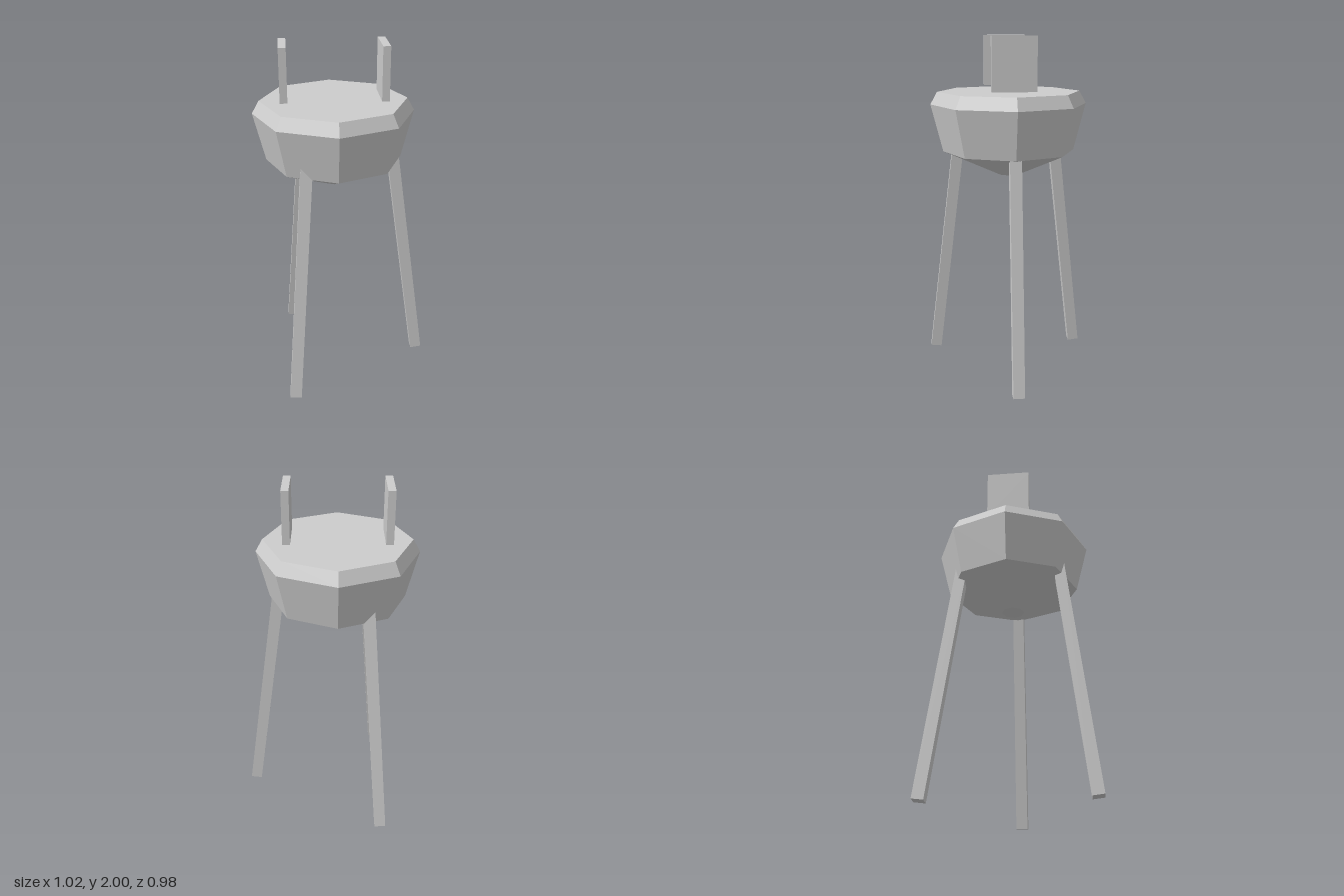
import * as THREE from 'three';

const CENTER_X = -0.052;

export function createModel() {
  const model = new THREE.Group();
  model.name = 'tripodStool';
  const grey = new THREE.MeshStandardMaterial({ color: 0xcccccc, flatShading: true });
  grey.name = 'light grey';

  // Faceted octagonal body: small flat base, flared sides, bevelled rim, flat top
  const profile = [[0, 1.195], [0.068, 1.195], [0.388, 1.335], [0.457, 1.61], [0.417, 1.682], [0, 1.682]]
    .map(([r, y]) => new THREE.Vector2(r, y));
  const body = new THREE.Mesh(new THREE.LatheGeometry(profile, 8).toNonIndexed(), grey);
  body.geometry.computeVertexNormals();
  body.name = 'body';
  body.position.x = CENTER_X;
  model.add(body);

  // Three splayed square legs, tilted straight towards the axis without twisting
  const up = new THREE.Vector3(0, 1, 0);
  for (let i = 0; i < 3; i++) {
    const a = (i * Math.PI * 2) / 3;
    const radial = new THREE.Vector3(Math.cos(a), 0, Math.sin(a));
    const foot = radial.clone().multiplyScalar(0.527).add(new THREE.Vector3(CENTER_X, 0.006, 0));
    const top = radial.clone().multiplyScalar(0.326).add(new THREE.Vector3(CENTER_X, 1.45, 0));
    const axis = top.clone().sub(foot);
    const leg = new THREE.Mesh(new THREE.BoxGeometry(0.066, axis.length(), 0.066), grey);
    leg.name = `leg${i + 1}`;
    leg.position.copy(foot).lerp(top, 0.5);
    leg.quaternion.setFromUnitVectors(up, axis.normalize());
    model.add(leg);
  }

  // Two upright plates hovering just above the top
  for (const side of [-1, 1]) {
    const plate = new THREE.Mesh(new THREE.BoxGeometry(0.042, 0.3, 0.25), grey);
    plate.name = side < 0 ? 'rightPlate' : 'leftPlate';
    plate.position.set(CENTER_X + side * 0.278, 1.85, 0);
    model.add(plate);
  }

  return model;
}
